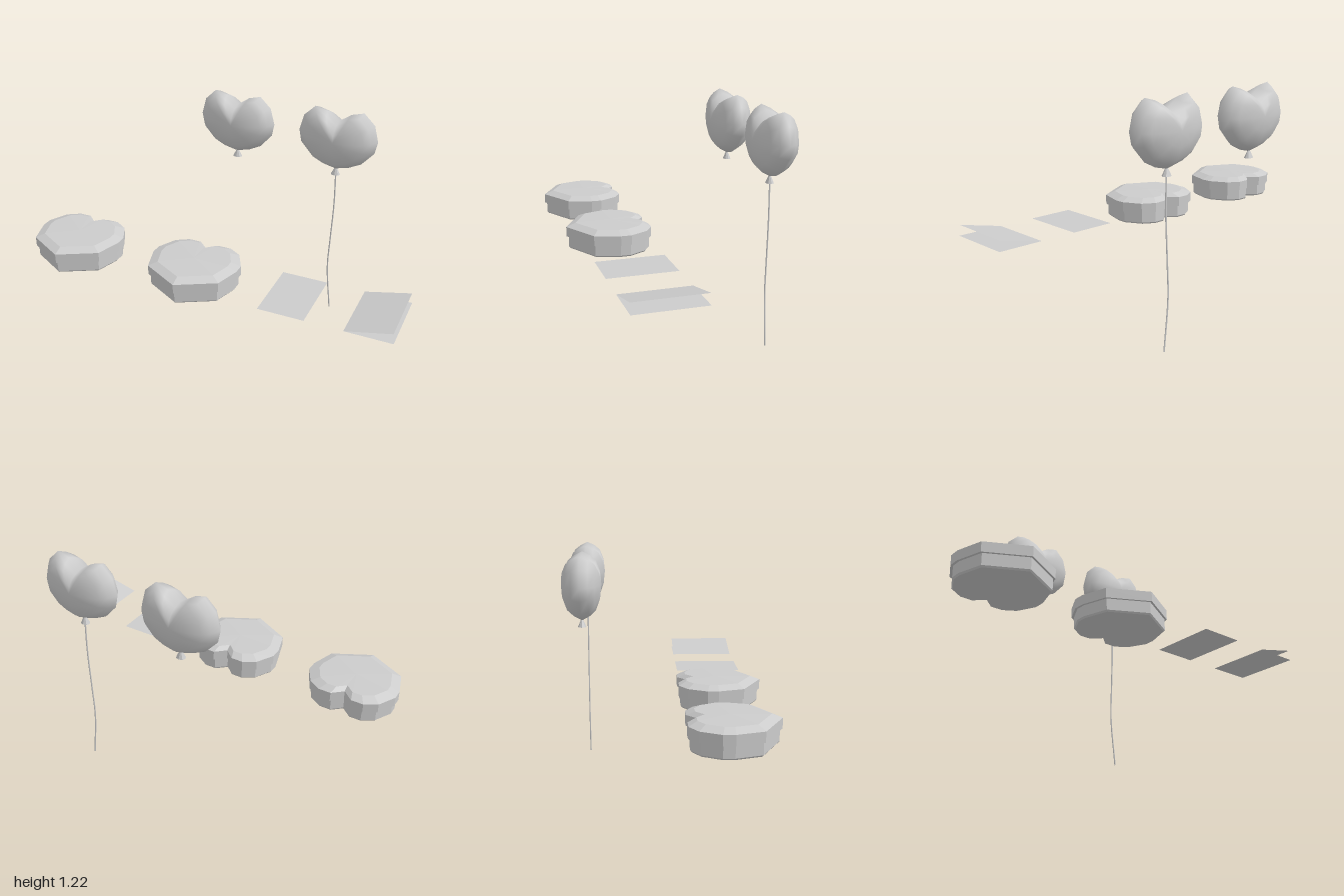
import * as THREE from 'three';
import { mergeVertices } from 'three/addons/utils/BufferGeometryUtils.js';

const smooth = new THREE.MeshStandardMaterial({ color: 0xcccccc });
const faceted = new THREE.MeshStandardMaterial({ color: 0xcccccc, flatShading: true });
const paper = new THREE.MeshStandardMaterial({ color: 0xcccccc, side: THREE.DoubleSide });

// Half outlines from the tip up the +x side to the notch, relative to the heart's middle
const boxHalf = [[0, -0.235], [0.195, -0.13], [0.235, 0], [0.235, 0.055], [0.185, 0.15], [0.12, 0.19], [0.055, 0.19], [0, 0.14]];
const balloonHalf = [[0, -0.182], [0.07, -0.165], [0.135, -0.133], [0.2, -0.06], [0.213, 0.005], [0.19, 0.092],
  [0.13, 0.15], [0.065, 0.132], [0, 0.088]];

const mirrored = half => [...half, ...half.slice(1, -1).reverse().map(([x, y]) => [-x, y])];

// Stacks scaled copies of an outline along z; layers are [scale, z], a scale of 0 closes the end
function loft(outline, layers) {
  const n = outline.length, pos = [], index = [];
  layers.forEach(([s, z], r) => {
    outline.forEach(([x, y], i) => {
      pos.push(x * s, y * s, z);
      if (r === 0) return;
      const j = (i + 1) % n, lo = (r - 1) * n, hi = r * n;
      if (layers[r - 1][0] > 0) index.push(lo + i, lo + j, hi + i);
      if (s > 0) index.push(lo + j, hi + j, hi + i);
    });
  });
  const geo = new THREE.BufferGeometry();
  geo.setAttribute('position', new THREE.Float32BufferAttribute(pos, 3));
  geo.setIndex(index);
  const merged = mergeVertices(geo);
  merged.computeVertexNormals();
  return merged;
}

function add(parent, name, geometry, material, x = 0, y = 0, z = 0) {
  const mesh = new THREE.Mesh(geometry, material);
  mesh.name = name;
  mesh.position.set(x, y, z);
  parent.add(mesh);
  return mesh;
}

export function createModel() {
  const model = new THREE.Group();
  model.name = 'heartGiftSet';

  // Heart boxes: narrower base with a bevelled lid on top
  const heart = mirrored(boxHalf);
  const baseGeo = loft(heart, [[0, 0.445], [0.92, 0.445], [0.95, 0.453], [0.95, 0.512], [0, 0.512]]).rotateX(-Math.PI / 2);
  const lidGeo = loft(heart, [[0, 0.511], [1, 0.511], [1, 0.561], [0.79, 0.58], [0, 0.583]]).rotateX(-Math.PI / 2);
  [-0.765, -0.083].forEach((x, i) => {
    const box = new THREE.Group();
    box.name = `heartBox${i + 1}`;
    box.position.set(x, 0, 0.27);
    add(box, 'boxBase', baseGeo, faceted);
    add(box, 'boxLid', lidGeo, faceted);
    model.add(box);
  });

  // Heart balloons with flared knots
  const front = [[0.88, 0.04], [0.73, 0.07], [0.4, 0.092], [0, 0.1]];
  const back = front.map(([s, z]) => [s, -z]).reverse();
  const balloonGeo = loft(mirrored(balloonHalf), [...back, [1, 0], ...front]);
  const knotGeo = new THREE.CylinderGeometry(0.007, 0.025, 0.036, 8);
  [-0.14, 0.428].forEach((x, i) => {
    const balloon = new THREE.Group();
    balloon.name = `heartBalloon${i + 1}`;
    balloon.position.set(x, 0, -0.405);
    add(balloon, 'balloonBody', balloonGeo, smooth, 0, 1.07);
    add(balloon, 'balloonKnot', knotGeo, faceted, 0, 0.873).scale.z = 0.85;
    model.add(balloon);
  });

  // String hanging from the second balloon
  const path = new THREE.CatmullRomCurve3([[0.43, 0.86], [0.433, 0.68], [0.425, 0.45], [0.42, 0.27], [0.447, 0]]
    .map(([x, y]) => new THREE.Vector3(x, y, -0.405)));
  add(model, 'balloonString', new THREE.TubeGeometry(path, 16, 0.004, 5), smooth);

  // Single flat card
  const cardGeo = new THREE.PlaneGeometry(0.235, 0.35).rotateX(-Math.PI / 2);
  add(model, 'flatCard', cardGeo, paper, 0.455, 0.508, 0.275);

  // Folded card, hinged along its -x edge and slightly open
  const folded = new THREE.Group();
  folded.name = 'foldedCard';
  folded.position.set(0.765, 0.508, 0.275);
  const leafGeo = cardGeo.clone().translate(0.1175, 0, 0);
  add(folded, 'lowerLeaf', leafGeo, paper);
  add(folded, 'upperLeaf', leafGeo, paper).rotation.z = 0.23;
  model.add(folded);

  return model;
}
